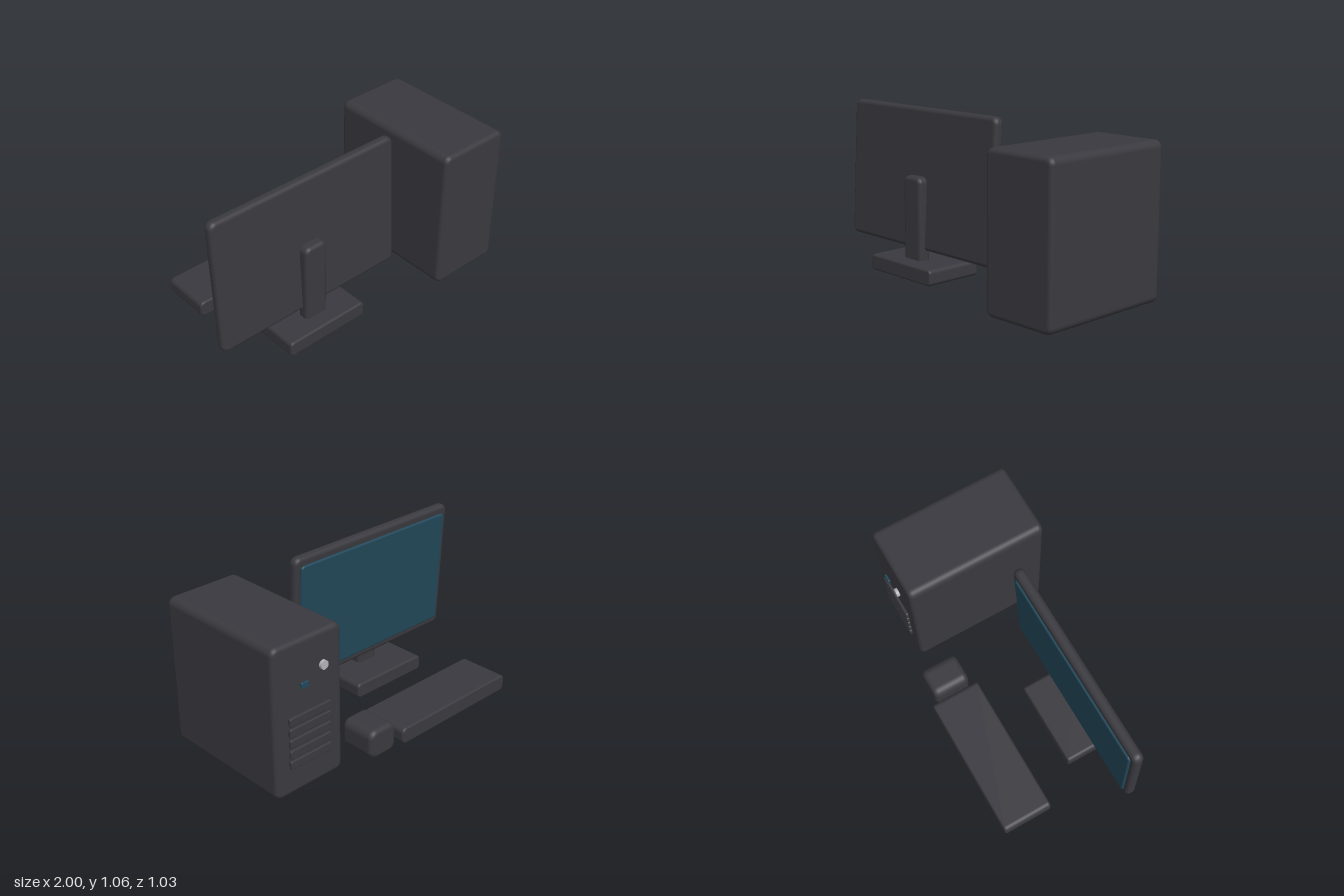
import * as THREE from 'three';

const dark = new THREE.MeshStandardMaterial({ name: 'charcoal plastic', color: 0x3a393f });
const blue = new THREE.MeshStandardMaterial({ name: 'blue glass', color: 0x22485a });
const silver = new THREE.MeshStandardMaterial({ name: 'silver', color: 0xb4b4b8 });

// Box with rounded corners (radius r, seen along z) and a soft edge (bevel b) front and back
function softBox(w, h, d, r, b) {
  const X = w / 2, Y = h / 2;
  const s = new THREE.Shape();
  s.absarc(X - r, Y - r, r, 0, Math.PI / 2);
  s.absarc(-X + r, Y - r, r, Math.PI / 2, Math.PI);
  s.absarc(-X + r, -Y + r, r, Math.PI, Math.PI * 1.5);
  s.absarc(X - r, -Y + r, r, Math.PI * 1.5, Math.PI * 2);
  const geo = new THREE.ExtrudeGeometry(s, {
    depth: d - 2 * b, curveSegments: 6,
    bevelEnabled: true, bevelThickness: b, bevelSize: b, bevelOffset: -b, bevelSegments: 4,
  });
  geo.translate(0, 0, -(d / 2 - b));

  // Smooth normals on walls and bevels; the flat caps keep theirs
  const p = geo.attributes.position, n = geo.attributes.normal;
  const clamp = THREE.MathUtils.clamp;
  for (let i = 0; i < p.count; i++) {
    if (Math.abs(n.getZ(i)) > 0.999) continue;
    const x = p.getX(i), y = p.getY(i), z = p.getZ(i);
    const dx = x - clamp(x, r - X, X - r), dy = y - clamp(y, r - Y, Y - r);
    const len = Math.hypot(dx, dy) || 1;
    const nz = clamp((z - clamp(z, b - d / 2, d / 2 - b)) / b, -1, 1);
    const k = Math.sqrt(1 - nz * nz) / len;
    n.setXYZ(i, dx * k, dy * k, nz);
  }
  return geo;
}

// Adds a soft box given by its extents on each axis
function addBox(parent, name, material, [x0, x1], [y0, y1], [z0, z1], r, b) {
  const mesh = new THREE.Mesh(softBox(x1 - x0, y1 - y0, z1 - z0, r, b), material);
  mesh.name = name;
  mesh.position.set((x0 + x1) / 2, (y0 + y1) / 2, (z0 + z1) / 2);
  parent.add(mesh);
  return mesh;
}

function addGroup(parent, name) {
  const g = new THREE.Group();
  g.name = name;
  parent.add(g);
  return g;
}

export function createModel() {
  const model = new THREE.Group();
  model.name = 'desktopComputer';

  // Monitor: panel and screen lean slightly towards the keyboard
  const monitor = addGroup(model, 'monitor');
  const display = addGroup(monitor, 'display');
  display.position.set(-0.34, 0.623, 0.238);
  display.rotation.x = -0.055;
  addBox(display, 'displayCase', dark, [-0.66, 0.66], [-0.437, 0.437], [-0.033, 0.033], 0.045, 0.027);
  addBox(display, 'screen', blue, [-0.62, 0.62], [-0.385, 0.385], [-0.046, -0.02], 0.025, 0.011);
  addBox(monitor, 'standNeck', dark, [-0.42, -0.26], [0.08, 0.645], [0.25, 0.33], 0.04, 0.025);
  addBox(monitor, 'standBase', dark, [-0.625, -0.055], [0.03, 0.13], [0.045, 0.43], 0.025, 0.014);

  // Keyboard and mouse
  addBox(model, 'keyboard', dark, [-0.81, 0.13], [0.03, 0.137], [-0.515, -0.19], 0.032, 0.014);
  addBox(model, 'mouse', dark, [0.145, 0.355], [0, 0.19], [-0.475, -0.23], 0.055, 0.032);

  // Tower with vents, power button and light on its -z face
  const tower = addGroup(model, 'tower');
  addBox(tower, 'towerCase', dark, [0.505, 1], [0, 0.943], [-0.393, 0.51], 0.045, 0.03);
  for (let i = 0; i < 5; i++) {
    const y = 0.475 - i * 0.068;
    addBox(tower, 'vent' + (i + 1), dark, [0.6, 0.905], [y - 0.027, y + 0.027], [-0.412, -0.392], 0.012, 0.006);
  }
  const button = new THREE.Mesh(new THREE.CylinderGeometry(0.027, 0.027, 0.019, 24), silver);
  button.name = 'powerButton';
  button.rotation.x = Math.PI / 2;
  button.position.set(0.66, 0.746, -0.416);
  tower.add(button);
  addBox(tower, 'statusLight', blue, [0.77, 0.826], [0.66, 0.696], [-0.422, -0.408], 0.008, 0.004);

  return model;
}
